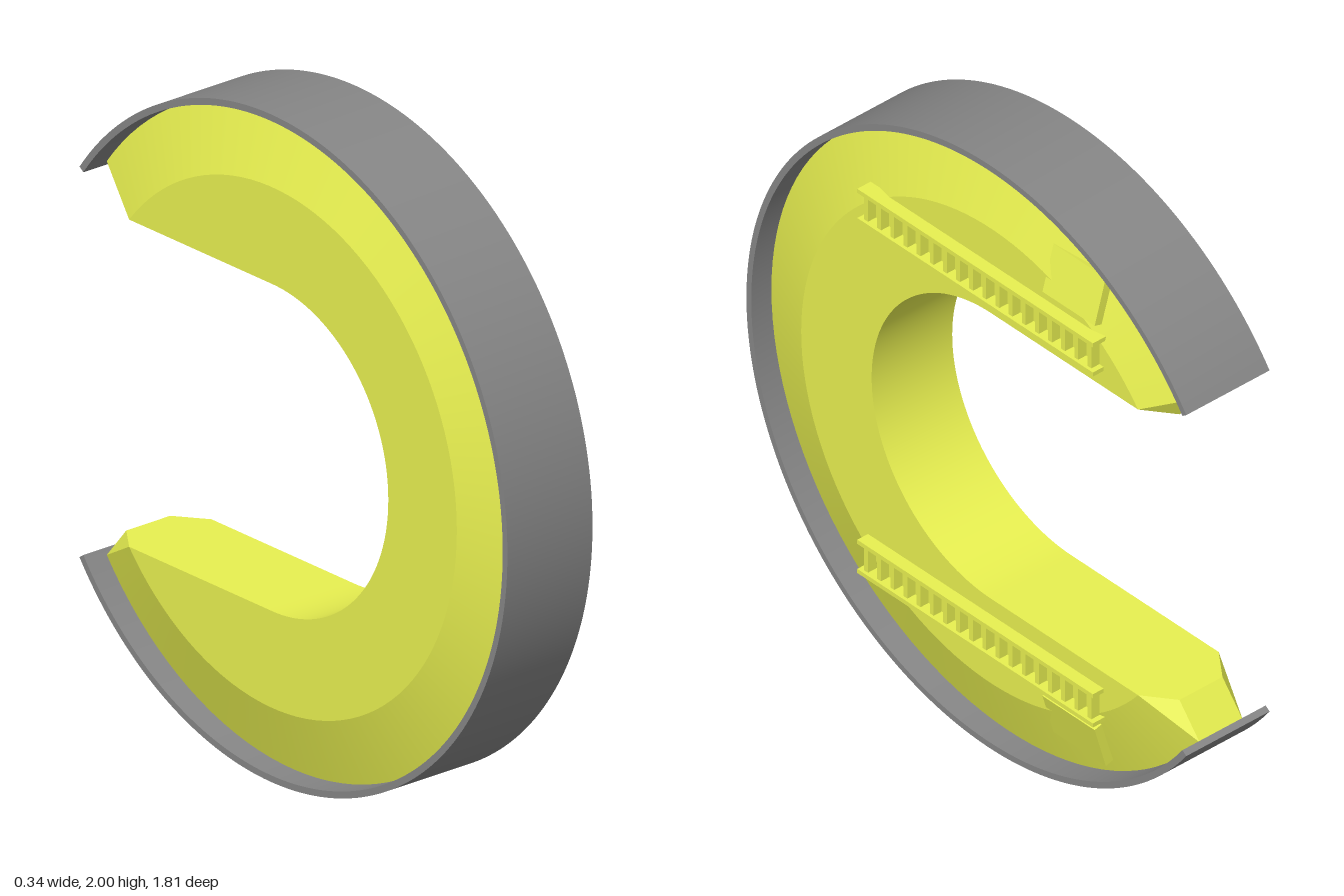
import * as THREE from 'three';
import { toCreasedNormals } from 'three/addons/utils/BufferGeometryUtils.js';

const CX = -0.02, CY = 1, CZ = -0.095; // ring centre
const RIM = 0.98, BEVEL = 0.78, HOLE = 0.49;
const FLAT_W = 0.15, RIM_W = 0.08; // half widths
const END = Math.PI - Math.asin(HOLE / BEVEL);
const RIM_END = THREE.MathUtils.degToRad(143);

const yellow = new THREE.MeshStandardMaterial({ color: 0xe8f050 });
const grey = new THREE.MeshStandardMaterial({ color: 0x868686 });

function add(parent, name, geometry, material) {
  const mesh = new THREE.Mesh(geometry, material);
  mesh.name = name;
  parent.add(mesh);
  return mesh;
}

// point on the ring: angle 0 is the front, 90 degrees the top
const polar = (x, r, a) => [CX + x, CY + r * Math.sin(a), CZ + r * Math.cos(a)];

// smooth surface between two edges given as functions of t in [-1, 1]
function strip(edgeA, edgeB, n = 96) {
  const pos = [], index = [];
  for (let i = 0; i <= n; i++) {
    const t = (2 * i) / n - 1;
    pos.push(...edgeA(t), ...edgeB(t));
    if (i < n) {
      const k = 2 * i;
      index.push(k, k + 1, k + 2, k + 1, k + 3, k + 2);
    }
  }
  const g = new THREE.BufferGeometry();
  g.setAttribute('position', new THREE.Float32BufferAttribute(pos, 3));
  g.setIndex(index);
  g.computeVertexNormals();
  return g;
}

// edges of the body cross-section; the hole turns into straight arms at the back
const rimEdge = (s) => (t) => polar(s * RIM_W, RIM, t * RIM_END);
const bevelEdge = (s) => (t) => polar(s * FLAT_W, BEVEL, t * END);
const holeEdge = (s) => (t) => {
  const a = t * END;
  const r = Math.abs(a) > Math.PI / 2 ? HOLE / Math.abs(Math.sin(a)) : HOLE;
  return polar(s * FLAT_W, r, a);
};

// tapered tip closing an arm; up = 1 for the upper arm, -1 for the lower
function tipGeometry(up) {
  const p1 = (s) => bevelEdge(s)(up);
  const p2 = (s) => [CX + s * RIM_W, CY + up * HOLE, -0.795];
  const p3 = (s) => rimEdge(s)(up);
  const tris = [
    [p1(1), p2(1), p3(1)], [p1(-1), p3(-1), p2(-1)],
    [p2(1), p2(-1), p3(-1)], [p2(1), p3(-1), p3(1)],
    [p1(1), p1(-1), p2(-1)], [p1(1), p2(-1), p2(1)],
  ];
  if (up < 0) tris.forEach((t) => t.reverse());
  const g = new THREE.BufferGeometry();
  g.setAttribute('position', new THREE.Float32BufferAttribute(tris.flat(2), 3));
  g.computeVertexNormals();
  return g;
}

export function createModel() {
  const model = new THREE.Group();
  model.name = 'openRing';

  // outer band
  const arc = THREE.MathUtils.degToRad(144.2);
  const shape = new THREE.Shape();
  shape.absarc(0, 0, 1, -arc, arc, false);
  shape.absarc(0, 0, RIM, arc, -arc, true);
  const band = new THREE.ExtrudeGeometry(shape, { depth: 0.31, bevelEnabled: false, curveSegments: 96 });
  band.rotateY(-Math.PI / 2).translate(0.135, CY, CZ);
  add(model, 'outerBand', toCreasedNormals(band, 0.5), grey);

  // body with bevelled sides
  const body = new THREE.Group();
  body.name = 'body';
  model.add(body);
  const chain = [rimEdge(1), bevelEdge(1), holeEdge(1), holeEdge(-1), bevelEdge(-1), rimEdge(-1)];
  const names = ['leftBevel', 'leftFace', 'innerWall', 'rightFace', 'rightBevel'];
  names.forEach((name, i) => add(body, name, strip(chain[i], chain[i + 1]), yellow));

  for (const up of [1, -1]) {
    const side = up > 0 ? 'upper' : 'lower';
    add(body, side + 'ArmTip', tipGeometry(up), yellow);

    // ladder on the left face
    const ladder = new THREE.Group();
    ladder.name = side + 'Ladder';
    model.add(ladder);
    for (const y of [0.552, 0.652]) {
      add(ladder, 'rail', new THREE.BoxGeometry(0.05, 0.014, 0.97), yellow)
        .position.set(0.145, CY + up * y, -0.075);
    }
    for (let i = 0; i < 18; i++) {
      add(ladder, 'rung', new THREE.BoxGeometry(0.04, 0.09, 0.016), yellow)
        .position.set(0.14, CY + up * 0.602, 0.385 - i * 0.0541);
    }

    // hatch plate lying on the bevel
    const hatch = add(model, side + 'Hatch', new THREE.BoxGeometry(0.04, 0.15, 0.215), yellow);
    hatch.position.set(0.103, CY + up * 0.76, -0.43);
    hatch.rotation.z = up * 0.28;
  }
  return model;
}
